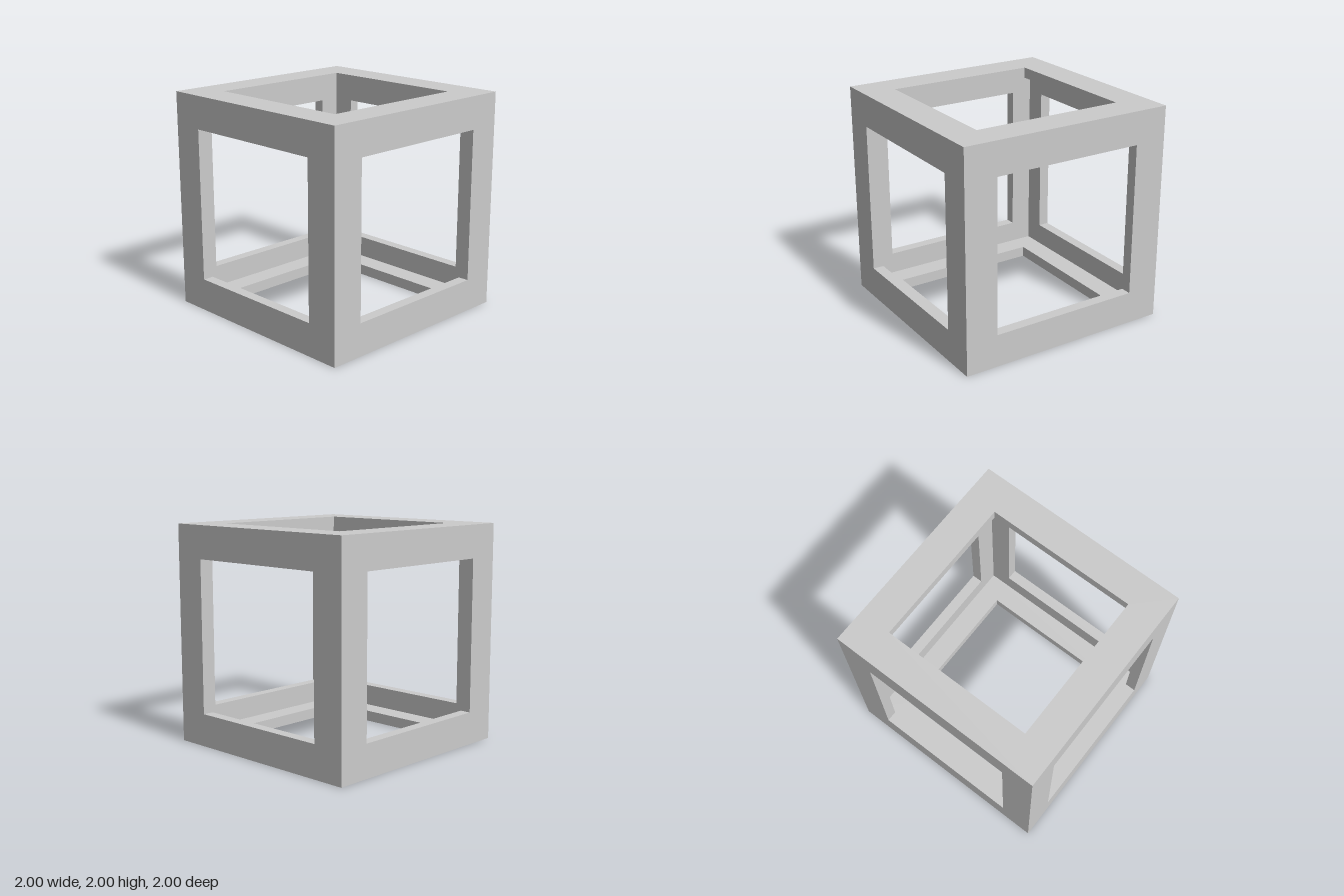
import * as THREE from 'three';

const HALF = 1;      // half the cube's side
const OPENING = 0.7; // half the window's side
const INNER = 0.9;   // half the hollow's side (walls 0.1 thick)

// One square wall frame lying at the top of the cube, mitred to meet its neighbours:
// outer face, window rim and inner face swept round four sides.
function wallGeometry() {
  const profile = [[HALF, HALF], [OPENING, HALF], [OPENING, INNER], [INNER, INNER]]
    .map(([r, y]) => new THREE.Vector2(r * Math.SQRT2, y));
  const geometry = new THREE.LatheGeometry(profile, 4, Math.PI / 4).toNonIndexed();
  geometry.computeVertexNormals();
  return geometry;
}

export function createModel() {
  const model = new THREE.Group();
  model.name = 'hollowCubeFrame';
  const material = new THREE.MeshStandardMaterial({ color: 0xcccccc, flatShading: true });
  const geometry = wallGeometry();

  // Six identical walls turned to face each direction
  const q = Math.PI / 2;
  const walls = [
    ['topWall', 0, 0],
    ['bottomWall', Math.PI, 0],
    ['frontWall', q, 0],
    ['backWall', -q, 0],
    ['leftWall', 0, -q],
    ['rightWall', 0, q],
  ];
  for (const [name, rx, rz] of walls) {
    const wall = new THREE.Mesh(geometry, material);
    wall.name = name;
    wall.rotation.set(rx, 0, rz);
    wall.position.y = HALF;
    model.add(wall);
  }
  return model;
}
